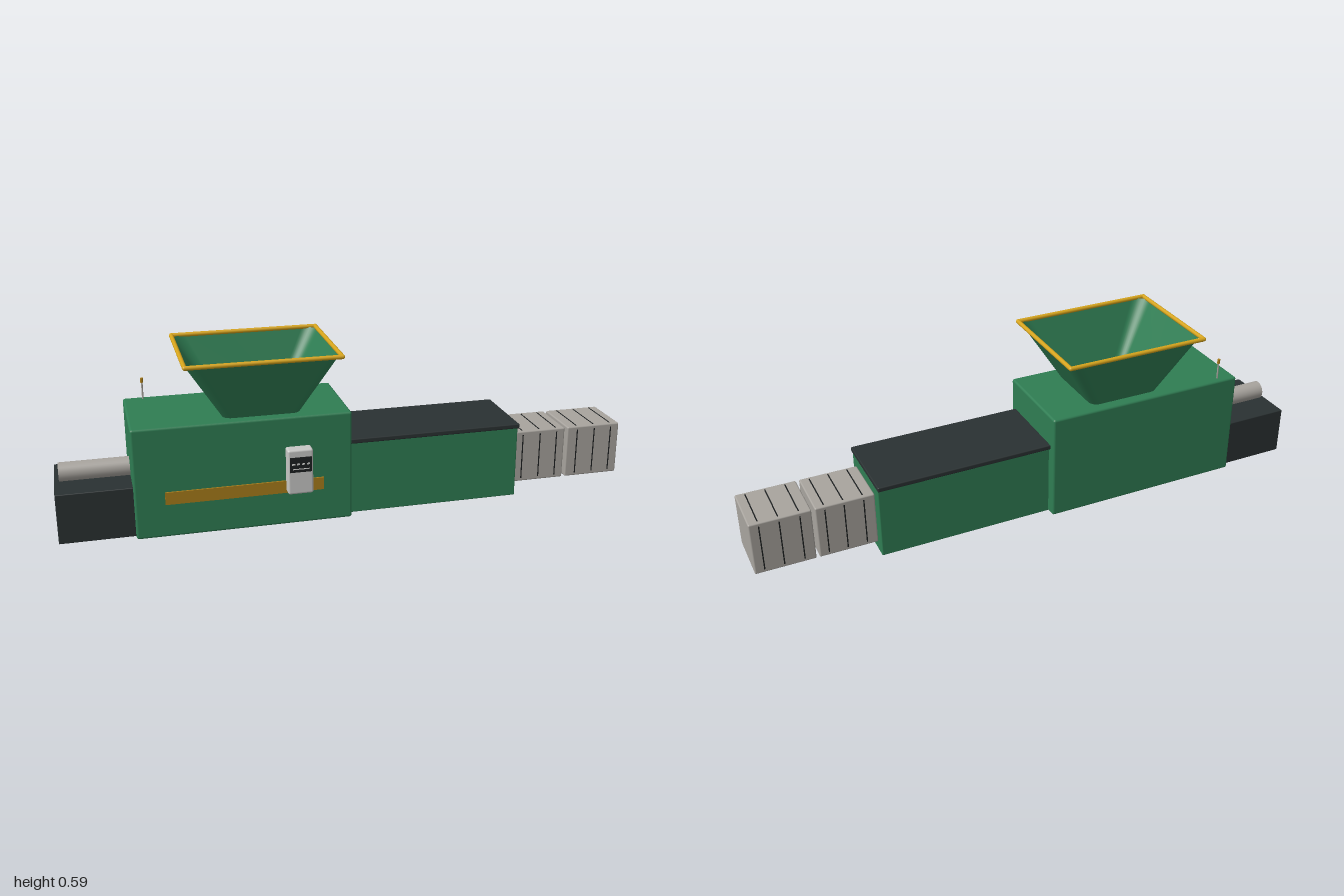
import * as THREE from 'three';
import { RoundedBoxGeometry } from 'three/addons/geometries/RoundedBoxGeometry.js';

const mat = (name, color, extra = {}) => {
  const m = new THREE.MeshStandardMaterial({ color, ...extra });
  m.name = name;
  return m;
};

export function createModel() {
  const green = mat('machine green', 0x2f7d53);
  const hopperGreen = green.clone();
  hopperGreen.side = THREE.DoubleSide;
  const charcoal = mat('charcoal', 0x2a3132);
  const yellow = mat('rim yellow', 0xd6a41c);
  const ochre = mat('stripe ochre', 0xa87c1a);
  const baleGrey = mat('bale grey', 0xa8a49e);
  const panelGrey = mat('panel grey', 0xc8c8c6);
  const black = mat('black', 0x1c1f20);

  const group = new THREE.Group();
  const add = (name, geo, material) => {
    const mesh = new THREE.Mesh(geo, material);
    mesh.name = name;
    group.add(mesh);
    return mesh;
  };
  // box given by its limits on each axis; r > 0 rounds the edges
  const box = (name, material, [x0, x1], [y0, y1], [z0, z1], r = 0) => {
    const size = [x1 - x0, y1 - y0, z1 - z0];
    const geo = r ? new RoundedBoxGeometry(...size, 3, r) : new THREE.BoxGeometry(...size);
    const mesh = add(name, geo, material);
    mesh.position.set((x0 + x1) / 2, (y0 + y1) / 2, (z0 + z1) / 2);
    return mesh;
  };
  // round bar between two points
  const bar = (name, material, a, b, r, sides = 16) => {
    const p = new THREE.Vector3(...a), q = new THREE.Vector3(...b);
    const mesh = add(name, new THREE.CylinderGeometry(r, r, p.distanceTo(q), sides), material);
    mesh.position.copy(p).add(q).multiplyScalar(0.5);
    mesh.quaternion.setFromUnitVectors(new THREE.Vector3(0, 1, 0), q.sub(p).normalize());
    return mesh;
  };

  // Main housings
  box('mainBody', green, [-0.752, -0.024], [0.003, 0.385], [-0.176, 0.157], 0.008);
  box('pressChamber', green, [-0.06, 0.588], [0.003, 0.262], [-0.14, 0.121], 0.004);
  box('chamberLid', charcoal, [-0.026, 0.59], [0.26, 0.277], [-0.151, 0.131], 0.004);
  box('powerUnit', charcoal, [-1, -0.75], [0.003, 0.176], [-0.151, 0.126], 0.003);
  bar('ramCylinder', baleGrey, [-0.984, 0.2, -0.012], [-0.74, 0.2, -0.012], 0.033, 32);

  // Hopper: rounded rectangular rings lofted from throat to mouth
  const cx = -0.318, cz = -0.01, perCorner = 8;
  const ring = (y, hx, hz, r) => {
    const pts = [];
    for (let c = 0; c < 4; c++) {
      const sx = c === 0 || c === 3 ? 1 : -1, sz = c < 2 ? 1 : -1;
      for (let i = 0; i <= perCorner; i++) {
        const a = (c + i / perCorner) * Math.PI / 2;
        pts.push(cx + sx * (hx - r) + r * Math.cos(a), y, cz + sz * (hz - r) + r * Math.sin(a));
      }
    }
    return pts;
  };
  const n = 4 * (perCorner + 1), index = [];
  for (let i = 0; i < n; i++) {
    const j = (i + 1) % n;
    index.push(i, i + n, j, j, i + n, j + n);
  }
  const hopper = new THREE.BufferGeometry();
  hopper.setAttribute('position', new THREE.Float32BufferAttribute(
    [...ring(0.383, 0.129, 0.129, 0.03), ...ring(0.586, 0.255, 0.2, 0.05)], 3));
  hopper.setIndex(index);
  hopper.computeVertexNormals();
  add('hopper', hopper, hopperGreen);

  // Tubular hopper rim
  const rimX = 0.254, rimZ = 0.2, rimY = 0.587, rimR = 0.0075;
  for (const s of [-1, 1]) {
    bar('hopperRimLong', yellow, [cx - rimX, rimY, cz + s * rimZ], [cx + rimX, rimY, cz + s * rimZ], rimR);
    bar('hopperRimShort', yellow, [cx + s * rimX, rimY, cz - rimZ], [cx + s * rimX, rimY, cz + rimZ], rimR);
    for (const t of [-1, 1]) {
      add('hopperRimCorner', new THREE.SphereGeometry(rimR, 12, 8), yellow)
        .position.set(cx + s * rimX, rimY, cz + t * rimZ);
    }
  }

  // Front stripe and signal mast
  box('frontStripe', ochre, [-0.653, -0.123], [0.12, 0.163], [0.155, 0.163]);
  bar('signalMast', baleGrey, [-0.685, 0.38, -0.153], [-0.685, 0.446, -0.153], 0.003, 10);
  bar('signalLamp', ochre, [-0.685, 0.444, -0.153], [-0.685, 0.46, -0.153], 0.005, 12);

  // Control panel
  box('controlPanel', panelGrey, [-0.255, -0.17], [0.133, 0.289], [0.17, 0.214], 0.007);
  box('panelScreen', black, [-0.249, -0.176], [0.212, 0.264], [0.212, 0.2165]);
  for (let i = 0; i < 4; i++) {
    const x = -0.242 + i * 0.0165;
    box('panelButton', panelGrey, [x, x + 0.01], [0.238, 0.243], [0.216, 0.218]);
  }
  box('panelReadout', panelGrey, [-0.24, -0.185], [0.222, 0.225], [0.216, 0.218]);

  // Pressed bales with tie wires on all four long faces
  for (const [x0, x1] of [[0.588, 0.787], [0.798, 1]]) {
    box('bale', baleGrey, [x0, x1], [0.038, 0.228], [-0.105, 0.085], 0.005);
    for (const f of [0.19, 0.52, 0.84]) {
      const x = x0 + f * (x1 - x0), w = [x - 0.002, x + 0.002];
      box('baleTieSide', black, w, [0.05, 0.216], [-0.106, 0.086]);
      box('baleTieTop', black, w, [0.037, 0.229], [-0.093, 0.073]);
    }
  }
  return group;
}
